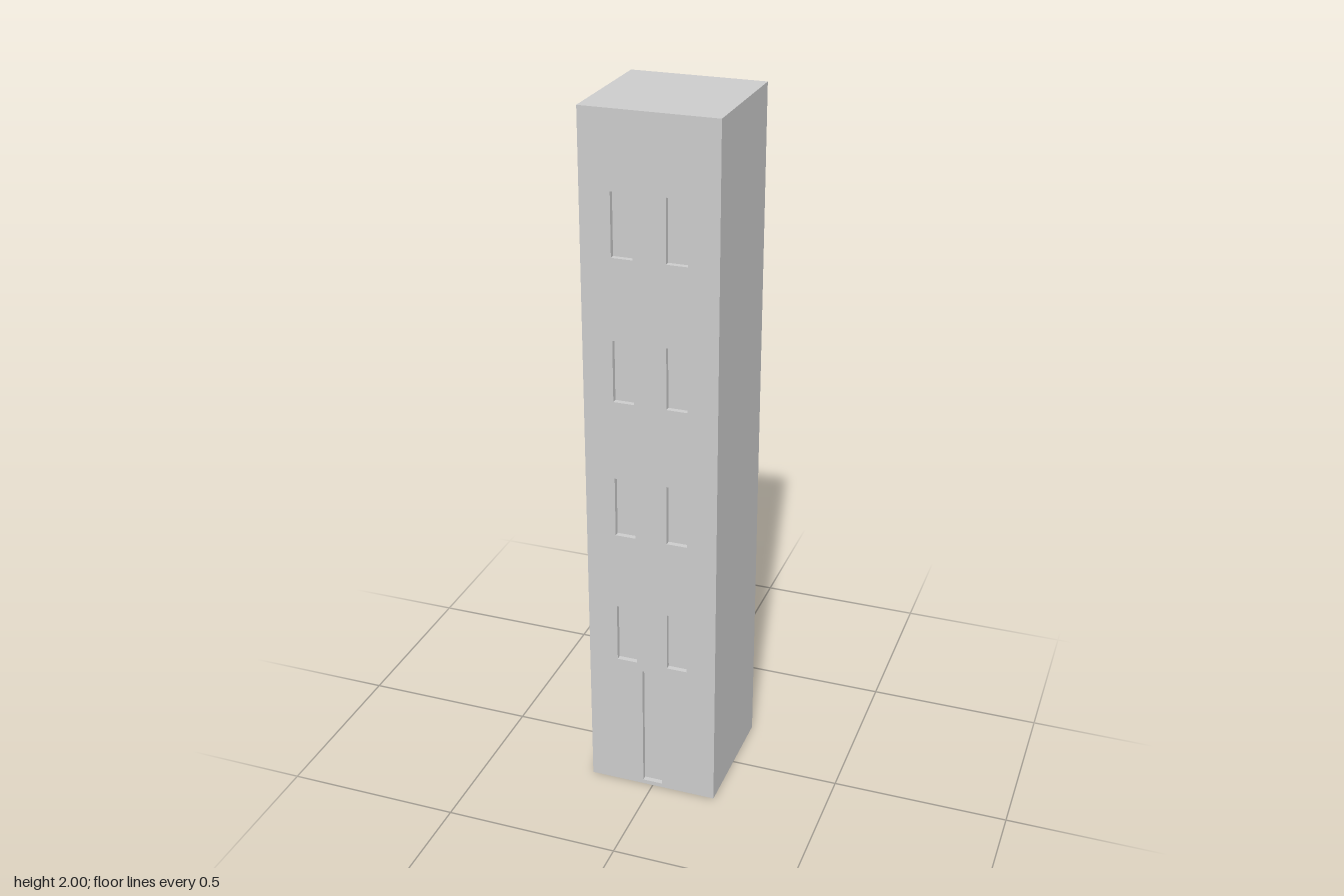
import * as THREE from 'three';

const SIDE = 0.374, HEIGHT = 2, DEPTH = 0.015;
const FRONT = SIDE / 2;

// Box without its +z face; inward turns the remaining faces to the inside
function openBox(w, h, d, inward = false) {
  const box = new THREE.BoxGeometry(w, h, d);
  const index = Array.from(box.index.array);
  index.splice(24, 6);
  if (inward) index.reverse();
  box.setIndex(index);
  box.clearGroups();
  const geometry = box.toNonIndexed();
  geometry.computeVertexNormals();
  return geometry;
}

// Adds a rectangular outline, starting at its lower left corner
function rect(path, x, y, w, h) {
  path.moveTo(x, y);
  path.lineTo(x + w, y);
  path.lineTo(x + w, y + h);
  path.lineTo(x, y + h);
  path.closePath();
  return path;
}

export function createModel() {
  const model = new THREE.Group();
  model.name = 'tower';
  const material = new THREE.MeshStandardMaterial({ color: 0xcccccc });

  const add = (name, geometry, x, y, z) => {
    const mesh = new THREE.Mesh(geometry, material);
    mesh.name = name;
    mesh.position.set(x, y, z);
    model.add(mesh);
  };

  // Openings in the front: one door and four floors of paired windows
  const openings = [{ name: 'door', x: 0, y: 0.013, w: 0.058, h: 0.377 }];
  for (let floor = 0; floor < 4; floor++) {
    for (const side of [-1, 1]) {
      openings.push({
        name: `${side > 0 ? 'left' : 'right'}Window${floor + 1}`,
        x: side * 0.074, y: 0.416 + floor * 0.4, w: 0.058, h: 0.174,
      });
    }
  }

  // Side, back, top and bottom walls
  add('walls', openBox(SIDE, HEIGHT, SIDE), 0, HEIGHT / 2, 0);

  // Front wall with holes, and a shallow recess behind each hole
  const facade = rect(new THREE.Shape(), -SIDE / 2, 0, SIDE, HEIGHT);
  for (const { name, x, y, w, h } of openings) {
    facade.holes.push(rect(new THREE.Path(), x - w / 2, y, w, h));
    add(name, openBox(w, h, DEPTH, true), x, y + h / 2, FRONT - DEPTH / 2);
  }
  add('frontWall', new THREE.ShapeGeometry(facade), 0, 0, FRONT);

  return model;
}
